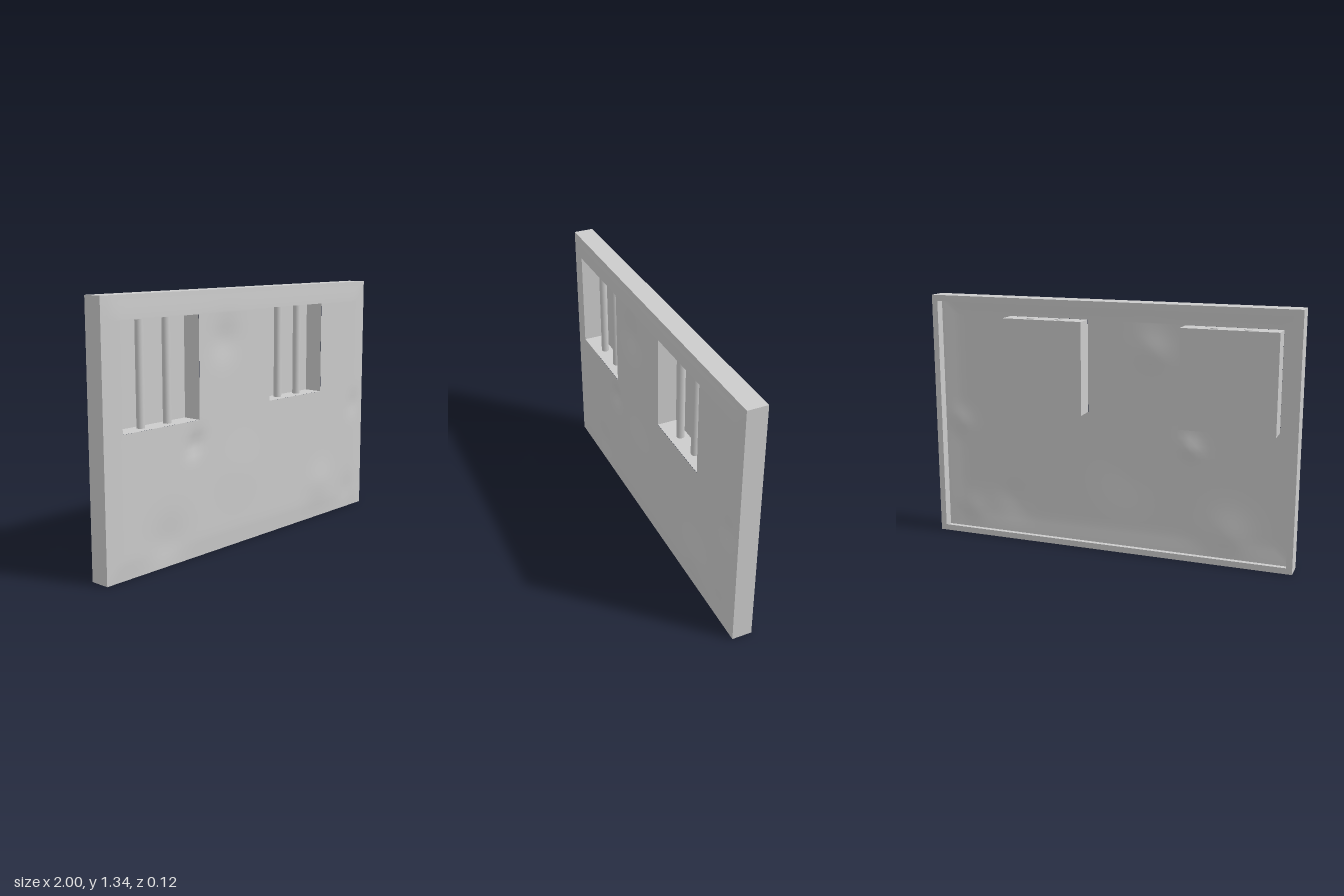
import * as THREE from 'three';

const W = 2, H = 1.335, BACK = -0.06, EDGE = 0.045;
const windows = [
  { name: 'rightWindow', x0: -0.89, x1: -0.39, y0: 0.70, y1: 1.22, bars: [-0.725, -0.553] },
  { name: 'leftWindow', x0: 0.14, x1: 0.585, y0: 0.73, y1: 1.225, bars: [0.28, 0.442] },
];
// Shallow dents and bumps of the worn face: x, y, radius, depth
const dents = [
  [-0.2, 1.08, 0.09, -0.012], [-0.62, 0.12, 0.12, -0.01], [0.58, 0.2, 0.1, 0.008],
  [-0.42, 0.58, 0.05, -0.015], [0.92, 0.62, 0.06, -0.008], [0.85, 0.1, 0.08, -0.006], [-0.1, 0.4, 0.15, 0.004],
];

const material = new THREE.MeshStandardMaterial({ color: 0xcccccc, side: THREE.DoubleSide });

function faceZ(x, y) {
  const edge = Math.min(1 - Math.abs(x), y, H - y);
  const rise = THREE.MathUtils.smoothstep(edge, 0, 0.1);
  let z = 0.006;
  for (const [dx, dy, r, d] of dents) z += d * Math.exp(-((x - dx) ** 2 + (y - dy) ** 2) / (r * r));
  return EDGE + z * rise;
}

// Evenly subdivides the spans between the given stops
function subdivide(stops, step) {
  const out = [stops[0]];
  for (let i = 1; i < stops.length; i++) {
    const a = stops[i - 1], b = stops[i], n = Math.max(1, Math.round((b - a) / step));
    for (let k = 1; k <= n; k++) out.push(a + (b - a) * k / n);
  }
  return out;
}

// Front sheet: a grid whose lines follow the window edges, leaving the openings out
function sheetGeometry() {
  const sorted = (list) => list.sort((a, b) => a - b);
  const xs = subdivide(sorted([-1, 1, ...windows.flatMap((w) => [w.x0, w.x1])]), 0.035);
  const ys = subdivide(sorted([0, H, ...windows.flatMap((w) => [w.y0, w.y1])]), 0.035);
  const pos = [], index = [];
  for (const y of ys) for (const x of xs) pos.push(x, y, faceZ(x, y));
  for (let j = 0; j < ys.length - 1; j++) {
    for (let i = 0; i < xs.length - 1; i++) {
      const cx = (xs[i] + xs[i + 1]) / 2, cy = (ys[j] + ys[j + 1]) / 2;
      if (windows.some((w) => cx > w.x0 && cx < w.x1 && cy > w.y0 && cy < w.y1)) continue;
      const a = j * xs.length + i, b = a + 1, c = a + xs.length, d = c + 1;
      index.push(a, b, d, a, d, c);
    }
  }
  const g = new THREE.BufferGeometry();
  g.setAttribute('position', new THREE.Float32BufferAttribute(pos, 3));
  g.setIndex(index);
  g.computeVertexNormals();
  return g;
}

// Thin box without its front (and optionally its back)
function openBox(x0, x1, y0, y1, z0, z1, keepBack) {
  const g = new THREE.BoxGeometry(x1 - x0, y1 - y0, z1 - z0);
  const index = Array.from(g.index.array);
  g.setIndex(index.filter((_, i) => i < 24 || (keepBack && i >= 30)));
  g.clearGroups();
  g.translate((x0 + x1) / 2, (y0 + y1) / 2, (z0 + z1) / 2);
  return g;
}

function add(parent, name, geometry) {
  const mesh = new THREE.Mesh(geometry, material);
  mesh.name = name;
  parent.add(mesh);
  return mesh;
}

export function createModel() {
  const group = new THREE.Group();
  group.name = 'wallPanel';

  add(group, 'frontSheet', sheetGeometry());
  add(group, 'outerEdge', openBox(-1, 1, 0, H, BACK, EDGE, false));

  // Narrow lip turned inwards around the open back
  const lip = 0.032;
  const rect = (P, x0, x1, y0, y1) => new P([[x0, y0], [x1, y0], [x1, y1], [x0, y1]].map((p) => new THREE.Vector2(...p)));
  const shape = rect(THREE.Shape, -W / 2, W / 2, 0, H);
  shape.holes.push(rect(THREE.Path, -1 + lip, 1 - lip, lip, H - lip));
  const lipGeometry = new THREE.ShapeGeometry(shape);
  lipGeometry.rotateY(Math.PI);
  lipGeometry.translate(0, 0, BACK);
  add(group, 'backLip', lipGeometry);

  // Window recesses with two upright bars each
  for (const w of windows) {
    const win = new THREE.Group();
    win.name = w.name;
    add(win, 'recess', openBox(w.x0, w.x1, w.y0, w.y1, -0.052, 0.05, true));
    for (const x of w.bars) {
      const length = w.y1 - w.y0 + 0.006;
      const bar = add(win, 'bar', new THREE.CylinderGeometry(0.021, 0.021, length, 10));
      bar.position.set(x, (w.y0 + w.y1) / 2, -0.01);
    }
    group.add(win);
  }
  return group;
}
